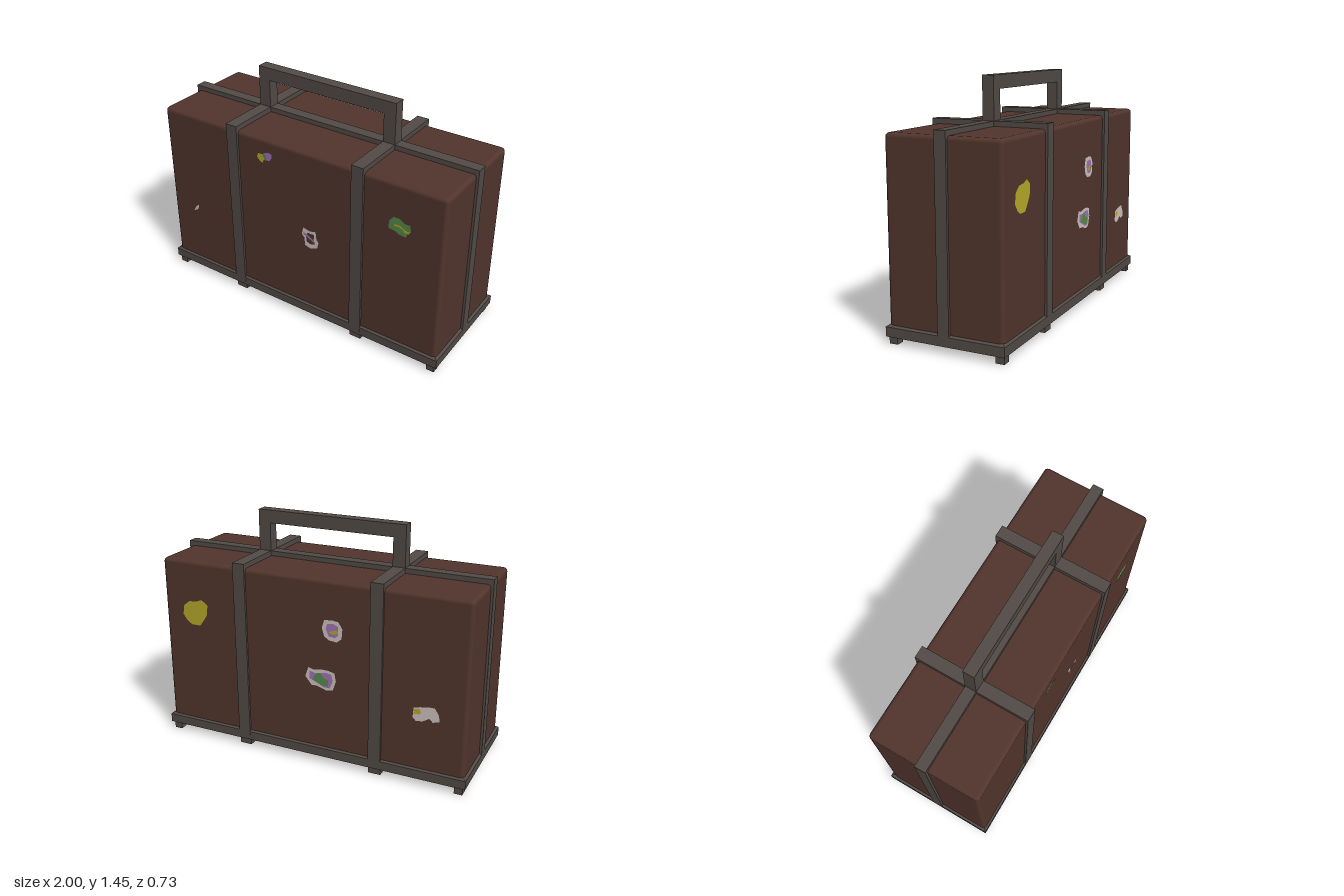
import * as THREE from 'three';
import { RoundedBoxGeometry } from 'three/addons/geometries/RoundedBoxGeometry.js';

const paint = (name, color) => new THREE.MeshStandardMaterial({ name, color });

export function createModel() {
  const model = new THREE.Group();
  model.name = 'suitcase';
  const leather = paint('brown leather', 0x52352d);
  const trim = paint('grey trim', 0x524b46);
  const yellow = paint('sticker yellow', 0xb8a929);
  const green = paint('sticker green', 0x578a4a);
  const purple = paint('sticker purple', 0xa074b4);
  const white = paint('sticker white', 0xd0c4c0);

  const add = (name, geometry, material, parent = model) => {
    const mesh = new THREE.Mesh(geometry, material);
    mesh.name = name;
    parent.add(mesh);
    return mesh;
  };
  // Box given by its limits on each axis
  const box = (name, material, x0, x1, y0, y1, z0, z1) => {
    const g = new THREE.BoxGeometry(x1 - x0, y1 - y0, z1 - z0);
    g.translate((x0 + x1) / 2, (y0 + y1) / 2, (z0 + z1) / 2);
    return add(name, g, material);
  };

  // Case body with softened edges
  const FACE = 0.352;
  const body = new RoundedBoxGeometry(1.97, 1.115, FACE * 2, 2, 0.025);
  body.translate(0, 0.6075, 0);
  add('body', body, leather);

  // Base frame with a sloped upper lip, and the underside panel
  box('baseFrame', trim, -1, 1, 0.045, 0.1, -0.365, 0.365);
  const lip = new THREE.BoxGeometry(2, 0.015, 0.73);
  const p = lip.attributes.position;
  for (let i = 0; i < p.count; i++) {
    if (p.getY(i) > 0) p.setXYZ(i, p.getX(i) * 0.975, p.getY(i), p.getZ(i) * 0.94);
  }
  lip.computeVertexNormals();
  lip.translate(0, 0.1075, 0);
  add('baseLip', lip, trim);
  box('underside', leather, -0.995, 0.995, 0.042, 0.048, -0.36, 0.36);

  // Lengthwise strap over the top and down both ends
  box('topStrap', trim, -1, 1, 1.15, 1.195, -0.035, 0.035);
  for (const s of [-1, 1]) {
    box('endStrap', trim, Math.min(s, s * 0.96), Math.max(s, s * 0.96), 0.06, 1.195, -0.035, 0.035);
  }

  // Cross straps, handle posts and feet, mirrored left and right
  for (const s of [-1, 1]) {
    const x0 = s * 0.44 - 0.039, x1 = s * 0.44 + 0.039;
    box('crossStrapTop', trim, x0, x1, 1.15, 1.196, -0.365, 0.365);
    box('handlePost', trim, x0, x1, 1.17, 1.45, -0.036, 0.036);
    for (const f of [-1, 1]) {
      const z = f * 0.35;
      box('crossStrapSide', trim, x0, x1, 0.06, 1.196, z - 0.016, z + 0.016);
      const zf = f * 0.328;
      box('middleFoot', trim, x0, x1, 0.005, 0.05, zf - 0.026, zf + 0.026);
      box('cornerFoot', trim, s * 0.957 - 0.025, s * 0.957 + 0.025, 0, 0.05, zf - 0.026, zf + 0.026);
    }
  }
  box('handleBar', trim, -0.44, 0.44, 1.37, 1.45, -0.036, 0.036);

  // Worn stickers: flat outlines in hundredths, layered just off the face
  const front = new THREE.Group();
  front.name = 'frontStickers';
  const back = new THREE.Group();
  back.name = 'backStickers';
  back.rotation.y = Math.PI;
  model.add(front, back);
  const points = (pairs) => {
    const list = [];
    for (let i = 0; i < pairs.length; i += 2) list.push(new THREE.Vector2(pairs[i] / 100, pairs[i + 1] / 100));
    return list;
  };
  const sticker = (side, name, x, y, layers) => {
    const group = new THREE.Group();
    group.name = name;
    group.position.set(x, y, FACE);
    side.add(group);
    layers.forEach(([material, outline, hole], i) => {
      const shape = new THREE.Shape(points(outline));
      if (hole) shape.holes.push(new THREE.Path(points(hole)));
      add(name + 'Layer', new THREE.ShapeGeometry(shape), material, group).position.z = 0.002 * (i + 1);
    });
  };

  sticker(front, 'twoToneSticker', -0.2, 1.05, [
    [green, [-3, 1, 0, 3, 2, 1, 1, -2, -2, -2]],
    [yellow, [-6, -1, -5, 1.5, -2, 1.5, -0.5, -1, -2, -4, -4, -3.5]],
    [purple, [-1, 2.5, 2, 4, 5, 3.5, 5, 0.5, 3, -2, 1, -1.5, 1, 1]],
  ]);
  sticker(front, 'greenSticker', 0.71, 0.905, [
    [green, [-7, -3, -6.5, 2, -4, 5, 0, 5, 3, 3, 6.5, 3, 7, -1, 5, -3, 4, -5.5, 0, -5, -3, -3.5]],
    [yellow, [-3.5, -0.5, -1, 0, 2, -1, 3, -2.5, 6, -2.5, 6.5, -1, 5, -1.2, 3, -0.5, 0, 1, -3, 1]],
  ]);
  sticker(front, 'ringSticker', 0.115, 0.6, [
    [white, [-6, 1, -5, 6, 0, 5, 4, 6, 4.5, 1, 6, -1, 5, -5, 0, -7, -4, -6, -4, -1],
      [-3, 1, -2, 3.5, 3, 3.5, 2.5, 0, 3.5, -3, 0, -4, -2.5, -3]],
    [purple, [-5, 1.5, -2, 0.5, 0, -0.5, 3, -2, 3, -0.5, 0, 1, -2, 2.5, -4.5, 3]],
  ]);
  sticker(front, 'scrapSticker', -0.795, 0.49, [
    [white, [-2.5, -2, -1.5, -2, -0.5, -1.5, 1.5, 0, 2.5, 2.5, 2, 3, 0, 1.5, -1, -0.3]],
  ]);

  sticker(back, 'yellowSticker', -0.767, 0.837, [
    [yellow, [-9, -2, -8, 4, -4, 7, 1, 7.5, 5, 9, 9, 6, 8.5, 0, 6, -4, 3, -8, -3, -8, -6, -6]],
  ]);
  sticker(back, 'ovalSticker', 0.164, 0.868, [
    [white, [-6.5, 1, -5, 6, 0, 6.5, 4, 6, 6.5, 2, 6, -4, 3, -6.5, -2, -6, -5, -4]],
    [purple, [-4, 1, -3, 4, 1, 4.5, 4, 3, 4, -2, 2, -4, -2, -3.5]],
    [yellow, [-2, -1, 0, 0, 3, 1, 4, 0, 3, -1.5, 0, -2]],
  ]);
  sticker(back, 'tricolourSticker', 0.089, 0.556, [
    [white, [-10, 0, -8, 6, -4, 5, 0, 6, 5, 6, 9, 5, 10, 0, 8, -6, 4, -7, -2, -5, -6, -5]],
    [purple, [-7, -1, -7, 4, -3, 3, 3, 4.5, 7, 4, 8, 0, 6, -5, 2, -5, -2, -3]],
    [green, [-5, -1, -3, 3, 0, 4, 2, 1, 5, 0, 5, -4, 1, -4, -2, -2.5]],
  ]);
  sticker(back, 'tornSticker', 0.747, 0.46, [
    [white, [-8, -3, -7.5, 3, -4, 4, 1, 5, 5, 5, 7.5, 1, 8, -3, 4, -4, 2, -2, -2, -4.5, -6, -5]],
    [yellow, [-7.5, -1, -7, 2.5, -4, 3, -3, 1, -4, -0.5, -6, -0.5]],
  ]);

  return model;
}
